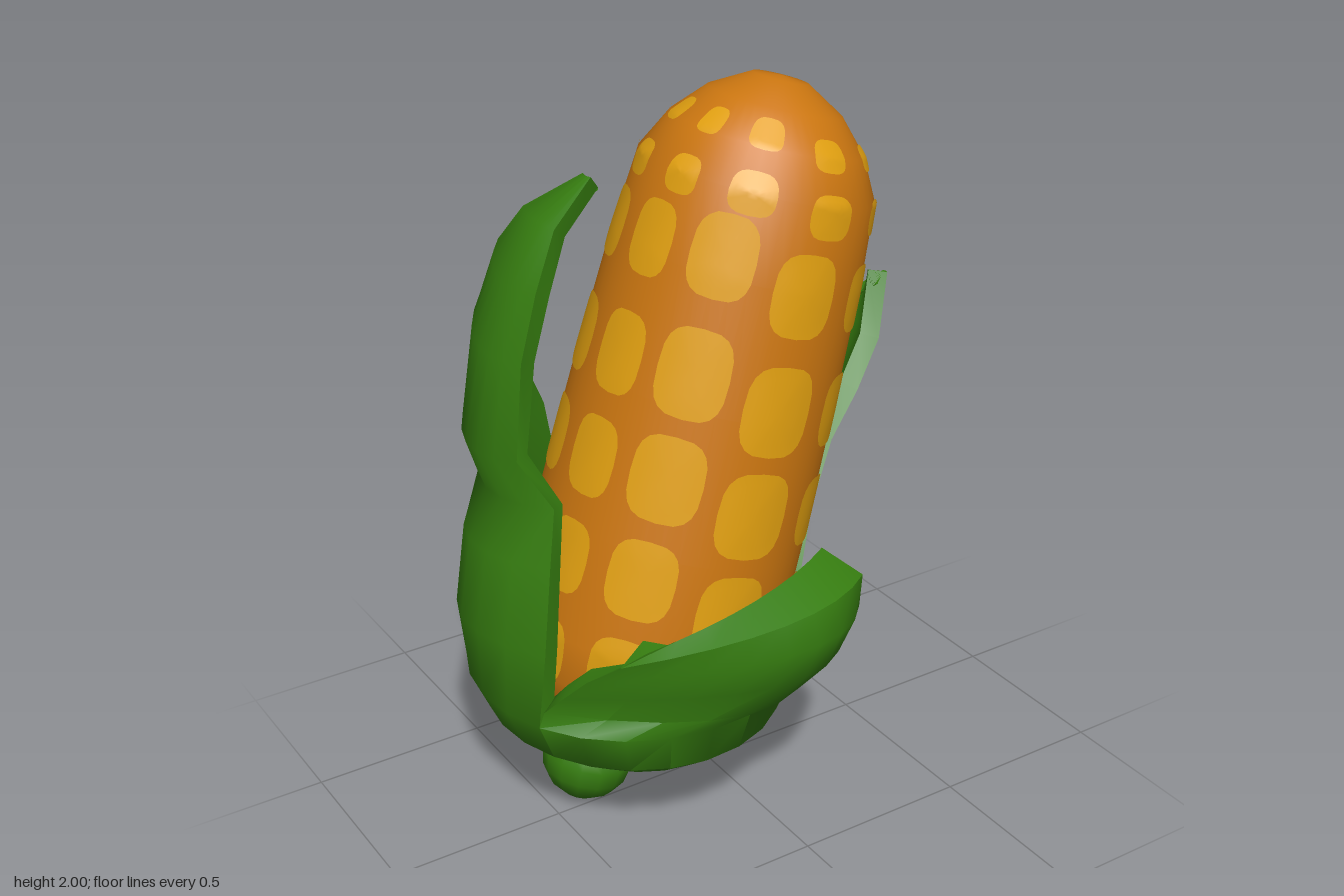
import * as THREE from 'three';
import { toCreasedNormals } from 'three/addons/utils/BufferGeometryUtils.js';

const mat = (name, color) => {
  const m = new THREE.MeshStandardMaterial({ color });
  m.name = name;
  return m;
};

// Cob profile: [radius, distance along the axis]
const PROFILE = [[0, 0.04], [0.2, 0.07], [0.3, 0.16], [0.355, 0.27], [0.375, 0.4], [0.37, 0.7], [0.356, 1.1],
  [0.338, 1.45], [0.318, 1.67], [0.26, 1.78], [0.18, 1.865], [0.075, 1.925], [0, 1.932]];

function radiusAt(s) {
  for (let i = 1; i < PROFILE.length; i++) {
    const [r0, s0] = PROFILE[i - 1], [r1, s1] = PROFILE[i];
    if (s <= s1) return r0 + (r1 - r0) * (s - s0) / (s1 - s0);
  }
  return 0;
}

// Rounded-square patch lying just above the cob surface
function kernelGeometry(angle, s, halfAngle, halfHeight) {
  const rings = 4, n = 20, pos = [], index = [];
  const put = (u, v) => {
    const h = s + v * halfHeight, a = angle + u * halfAngle, r = radiusAt(h) + 0.004;
    pos.push(r * Math.sin(a), h + (h > 1.6 ? 0.003 : 0), r * Math.cos(a));
  };
  const soft = (c) => Math.sign(c) * Math.pow(Math.abs(c), 0.65);
  put(0, 0);
  for (let k = 1; k <= rings; k++) for (let i = 0; i < n; i++) {
    const t = i / n * Math.PI * 2;
    put(soft(Math.cos(t)) * k / rings, soft(Math.sin(t)) * k / rings);
  }
  for (let i = 0; i < n; i++) {
    const j = (i + 1) % n;
    index.push(0, 1 + i, 1 + j);
    for (let k = 0; k < rings - 1; k++) {
      const a = 1 + k * n + i, b = 1 + k * n + j;
      index.push(a, a + n, b + n, a, b + n, b);
    }
  }
  const g = new THREE.BufferGeometry();
  g.setAttribute('position', new THREE.Float32BufferAttribute(pos, 3));
  g.setIndex(index);
  g.computeVertexNormals();
  return g;
}

// Rings of the closed husk base: [y, centre x, centre z, radius x, radius z]
const RINGS = [[0.085, -0.08, -0.09, 0.008, 0.008], [0.1, -0.12, -0.1, 0.14, 0.18], [0.18, -0.18, -0.095, 0.29, 0.31],
  [0.3, -0.21, -0.07, 0.41, 0.435], [0.41, -0.2, -0.08, 0.468, 0.468]];

// Leaf: base sector between two angles, then rows of edge, middle, edge points
function leafGeometry(from, to, rows, thickness = 0.055) {
  const seg = 8, w = seg + 1, outer = [], index = [];
  for (const [y, cx, cz, rx, rz] of RINGS) for (let i = 0; i < w; i++) {
    const a = THREE.MathUtils.degToRad(from + (to - from) * i / seg);
    outer.push(cx + rx * Math.cos(a), y, cz + rz * Math.sin(a));
  }
  for (const [A, M, B] of rows) for (let i = 0; i < w; i++) {
    const t = i / seg, p = (1 - t) * (1 - 2 * t), q = 4 * t * (1 - t), r = t * (2 * t - 1);
    for (let k = 0; k < 3; k++) outer.push(A[k] * p + M[k] * q + B[k] * r);
  }
  const h = RINGS.length + rows.length, count = w * h;
  for (let v = 0; v < h - 1; v++) for (let u = 0; u < seg; u++) {
    const a = v * w + u, b = a + 1, c = a + w, d = c + 1;
    index.push(a, c, b, b, c, d);
  }
  const skin = new THREE.BufferGeometry();
  skin.setAttribute('position', new THREE.Float32BufferAttribute(outer, 3));
  skin.setIndex(index);
  skin.computeVertexNormals();
  const nrm = skin.attributes.normal.array;
  const all = outer.concat(outer.map((c, i) => c - nrm[i] * thickness));

  // Inner face and the rim along the border
  const full = index.slice();
  for (let i = 0; i < index.length; i += 3) full.push(index[i] + count, index[i + 2] + count, index[i + 1] + count);
  const border = [];
  for (let u = 0; u < seg; u++) border.push(u);
  for (let v = 0; v < h - 1; v++) border.push(v * w + seg);
  for (let u = seg; u > 0; u--) border.push((h - 1) * w + u);
  for (let v = h - 1; v > 0; v--) border.push(v * w);
  border.forEach((a, i) => {
    const b = border[(i + 1) % border.length];
    full.push(a, b, b + count, a, b + count, a + count);
  });
  const g = new THREE.BufferGeometry();
  g.setAttribute('position', new THREE.Float32BufferAttribute(all, 3));
  g.setIndex(full);
  return toCreasedNormals(g, 0.75);
}

const FRONT = [
  [[0.18, 0.45, 0.25], [-0.16, 0.46, 0.44], [-0.6, 0.45, 0.13]],
  [[0.19, 0.55, 0.37], [-0.13, 0.57, 0.51], [-0.57, 0.51, 0.18]],
  [[0.2, 0.67, 0.43], [-0.11, 0.68, 0.55], [-0.53, 0.58, 0.24]],
  [[0.2, 0.77, 0.44], [-0.11, 0.76, 0.53], [-0.47, 0.64, 0.31]],
  [[0.13, 0.83, 0.35], [-0.13, 0.785, 0.42], [-0.41, 0.68, 0.34]],
];
const RIGHT_SIDE = [
  [[-0.59, 0.62, 0.13], [-0.65, 0.62, -0.26], [-0.22, 0.62, -0.55]],
  [[-0.55, 0.85, 0.1], [-0.62, 0.85, -0.25], [-0.23, 0.85, -0.55]],
  [[-0.51, 1.0, 0.06], [-0.58, 1.0, -0.22], [-0.26, 1.0, -0.55]],
  [[-0.58, 1.13, 0], [-0.61, 1.13, -0.25], [-0.35, 1.2, -0.52]],
  [[-0.54, 1.38, -0.03], [-0.56, 1.38, -0.25], [-0.4, 1.45, -0.46]],
  [[-0.48, 1.55, -0.05], [-0.5, 1.55, -0.22], [-0.4, 1.57, -0.4]],
  [[-0.4, 1.69, -0.09], [-0.415, 1.7, -0.18], [-0.38, 1.69, -0.29]],
  [[-0.28, 1.8, -0.11], [-0.285, 1.8, -0.13], [-0.28, 1.8, -0.15]],
];
const LEFT_SIDE = [
  [[-0.12, 0.61, -0.54], [0.29, 0.58, -0.31], [0.22, 0.6, 0.13]],
  [[0.04, 0.78, -0.53], [0.4, 0.76, -0.28], [0.3, 0.78, 0.07]],
  [[0.25, 0.92, -0.49], [0.5, 0.91, -0.24], [0.4, 0.94, 0.02]],
  [[0.45, 1.06, -0.42], [0.59, 1.04, -0.22], [0.5, 1.06, 0]],
  [[0.6, 1.18, -0.32], [0.66, 1.18, -0.18], [0.6, 1.18, -0.04]],
  [[0.66, 1.35, -0.11], [0.663, 1.35, -0.1], [0.66, 1.35, -0.09]],
];

// Kernel columns: [degrees from the front, half angle, half height, shift along the cob]
const COLUMNS = [[-3, 0.29, 0.122, -0.02], [38, 0.23, 0.1, -0.03], [73, 0.22, 0.11, -0.02], [97, 0.21, 0.1, -0.02],
  [134, 0.23, 0.11, 0], [171, 0.22, 0.105, 0], [213, 0.24, 0.11, 0.01], [249, 0.22, 0.105, 0.02],
  [282, 0.21, 0.11, 0.03], [317, 0.27, 0.12, 0.04]];
// Kernel rows: [distance along the cob, width scale, height scale]
const ROWS = [[0.32, 0.85, 0.85], [0.59, 0.92, 0.92], [0.87, 1, 0.98], [1.155, 1, 1], [1.46, 0.95, 0.9],
  [1.65, 0.72, 0.45], [1.79, 0.66, 0.3]];

export function createModel() {
  const model = new THREE.Group();
  const orange = mat('cob orange', 0xcb7610);
  const yellow = mat('kernel yellow', 0xe09f10);
  const green = mat('husk green', 0x367d10);
  const add = (parent, name, geometry, material) => {
    const mesh = new THREE.Mesh(geometry, material);
    mesh.name = name;
    parent.add(mesh);
    return mesh;
  };

  // Leaning cob with its kernels
  const cob = new THREE.Group();
  cob.name = 'cob';
  cob.position.set(-0.28, 0.135, -0.06);
  cob.rotation.z = -0.285;
  model.add(cob);
  add(cob, 'cobCore', new THREE.LatheGeometry(PROFILE.map(([r, s]) => new THREE.Vector2(r, s)), 48), orange);
  ROWS.forEach(([s, wide, tall], row) => {
    for (const [degrees, a, h, shift] of COLUMNS) {
      const angle = THREE.MathUtils.degToRad(degrees + (row > 4 ? 6 : 0));
      add(cob, 'kernel', kernelGeometry(angle, s + shift * (row > 4 ? 0.4 : 1), a * wide, h * tall), yellow);
    }
  });

  // Husk leaves and stem
  add(model, 'frontLeaf', leafGeometry(35, 153, FRONT), green);
  add(model, 'rightLeaf', leafGeometry(153, 266, RIGHT_SIDE), green);
  add(model, 'leftLeaf', leafGeometry(-94, 35, LEFT_SIDE), green);
  const stem = add(model, 'stem', new THREE.SphereGeometry(0.13, 14, 8), green);
  stem.position.set(-0.373, 0.132, -0.05);
  stem.rotation.z = -0.27;
  return model;
}
